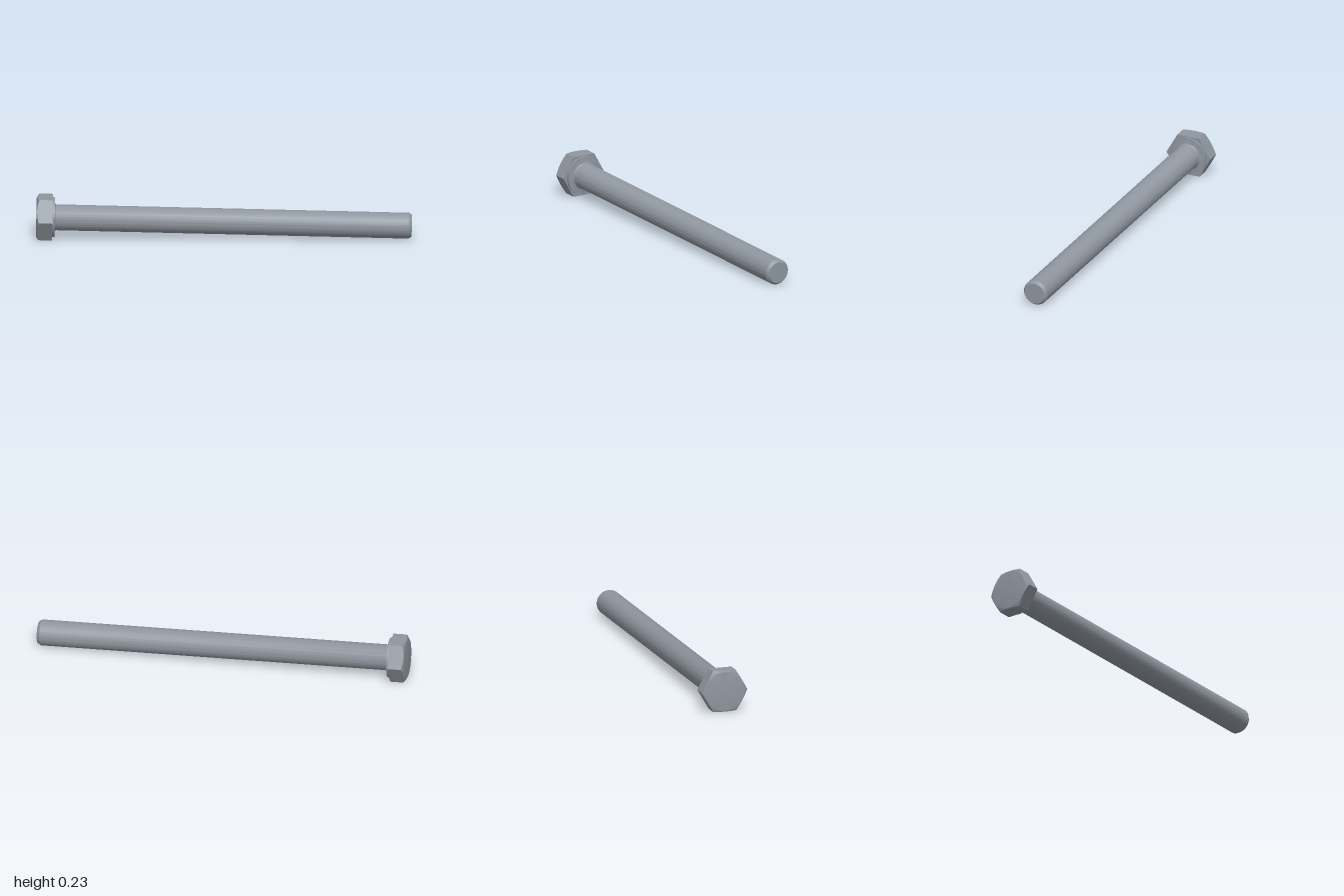
import * as THREE from 'three';
import { toCreasedNormals } from 'three/addons/utils/BufferGeometryUtils.js';

const APOTHEM = 0.112;   // half the width across the flats
const CAP_R = 0.105;     // radius where the head chamfer starts
const BASE = -0.012;     // hex underside, below the washer face at 0
const TOP = -0.099;      // outer end of the head
const LENGTH = 1.915;    // shank length
const RADIUS = 0.0695;   // shank radius
const SEGMENTS = 72;

// Hexagon radius at an angle, with a corner at angle 0
function hexRadius(a) {
  const sector = Math.PI / 3;
  const local = ((a % sector) + sector) % sector - sector / 2;
  return APOTHEM / Math.cos(local);
}

// Height of the chamfer cone at a radius
const chamferY = (r) => TOP + (r - CAP_R) * Math.tan(Math.PI / 6);

// Skin a list of rings, each a function of angle giving [radius, y]
function loft(rings) {
  const positions = [], index = [];
  for (const ring of rings) {
    for (let i = 0; i < SEGMENTS; i++) {
      const a = (i / SEGMENTS) * Math.PI * 2;
      const [r, y] = ring(a);
      positions.push(r * Math.cos(a), y, r * Math.sin(a));
    }
  }
  for (let k = 0; k < rings.length - 1; k++) {
    for (let i = 0; i < SEGMENTS; i++) {
      const j = (i + 1) % SEGMENTS;
      const a = k * SEGMENTS + i, b = k * SEGMENTS + j;
      const c = a + SEGMENTS, d = b + SEGMENTS;
      index.push(a, c, b, b, c, d);
    }
  }
  const g = new THREE.BufferGeometry();
  g.setAttribute('position', new THREE.Float32BufferAttribute(positions, 3));
  g.setIndex(index);
  return g;
}

export function createModel() {
  const steel = new THREE.MeshStandardMaterial({ color: 0x8f969f });
  steel.name = 'steel';
  const bolt = new THREE.Group();
  bolt.name = 'bolt';

  function add(name, geometry) {
    const mesh = new THREE.Mesh(geometry, steel);
    mesh.name = name;
    bolt.add(mesh);
  }

  // Hex head: flat sides and underside
  const hexEdge = (a) => [hexRadius(a), chamferY(hexRadius(a))];
  const sides = loft([
    hexEdge,
    (a) => [hexRadius(a), BASE],
    () => [RADIUS * 0.9, BASE],
  ]);
  add('headSides', toCreasedNormals(sides, 0.4));

  // Chamfered outer end of the head, softly shaded
  const crown = loft([() => [0.0001, TOP], () => [CAP_R, TOP], hexEdge]);
  crown.computeVertexNormals();
  add('headCrown', crown);

  // Raised washer face, shank with fillet, and chamfered tip
  const fillet = 0.009;
  const profile = [
    [0.107, BASE], [0.107, 0],
  ];
  for (let i = 0; i <= 5; i++) {
    const t = (i / 5) * Math.PI / 2;
    profile.push([RADIUS + fillet * (1 - Math.sin(t)), fillet * (1 - Math.cos(t))]);
  }
  profile.push([RADIUS, LENGTH - 0.016], [0.058, LENGTH], [0, LENGTH]);
  const shank = new THREE.LatheGeometry(profile.map(([r, y]) => new THREE.Vector2(r, y)), SEGMENTS);
  add('shank', toCreasedNormals(shank, 0.5));

  // Lay the bolt along its slanted axis, corners of the hex level
  const start = new THREE.Vector3(-0.885, 0.115, -0.161);
  const axis = new THREE.Vector3(0.987, 0.071, 0.241).sub(start).normalize();
  const side = new THREE.Vector3(0, 1, 0).cross(axis).normalize();
  const up = new THREE.Vector3().crossVectors(side, axis);
  bolt.quaternion.setFromRotationMatrix(new THREE.Matrix4().makeBasis(side, axis, up));
  bolt.position.copy(start);

  const model = new THREE.Group();
  model.name = 'hexBolt';
  model.add(bolt);
  return model;
}
